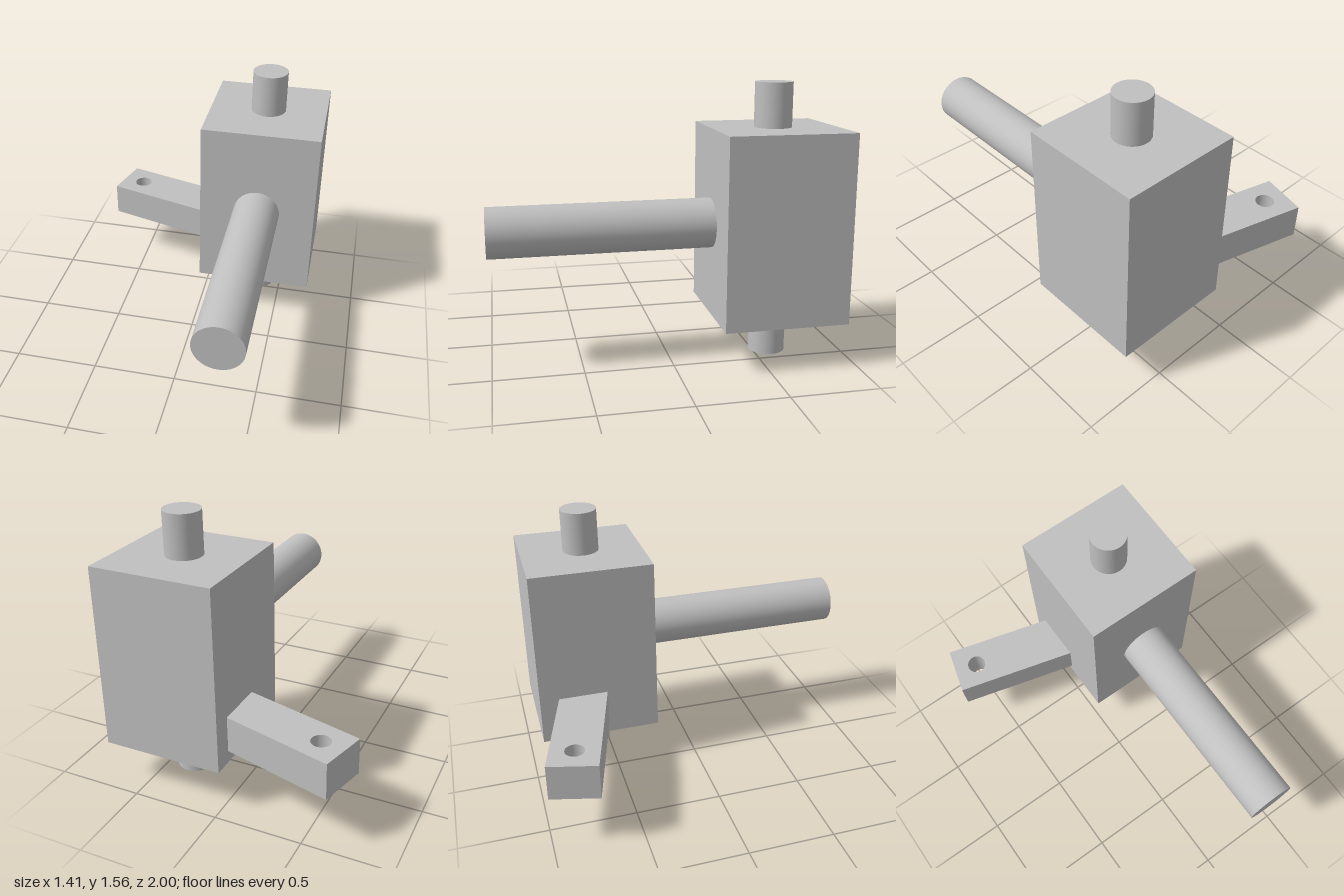
import * as THREE from 'three';

export function createModel() {
  const group = new THREE.Group();
  const grey = new THREE.MeshStandardMaterial({ color: 0xc0c0c0 });
  grey.name = 'grey';

  const add = (name, geometry, x, y, z) => {
    const mesh = new THREE.Mesh(geometry, grey);
    mesh.name = name;
    mesh.position.set(x, y, z);
    group.add(mesh);
    return mesh;
  };

  const cx = 0.352, cz = -0.59;

  // Main housing
  add('block', new THREE.BoxGeometry(0.705, 1.06, 0.705), cx, 0.78, cz);

  // Vertical pin stubs above and below the block
  for (const [name, y] of [['topPin', 1.435], ['bottomPin', 0.125]]) {
    add(name, new THREE.CylinderGeometry(0.105, 0.105, 0.25, 64), cx, y, cz);
  }

  // Long horizontal shaft on the front
  const shaft = new THREE.CylinderGeometry(0.14, 0.14, 1.24, 64).rotateX(Math.PI / 2);
  add('shaft', shaft, cx, 0.78, 0.38);

  // Flat lever arm with an eyelet, angled 15 degrees and running into the block
  const outline = new THREE.Shape();
  outline.moveTo(0, -0.14);
  outline.lineTo(0.82, -0.14);
  outline.lineTo(0.82, 0.14);
  outline.lineTo(0, 0.14);
  outline.closePath();
  const hole = new THREE.Path();
  hole.absarc(0.14, 0, 0.055, 0, Math.PI * 2, true);
  outline.holes.push(hole);
  const lever = new THREE.ExtrudeGeometry(outline, { depth: 0.21, bevelEnabled: false, curveSegments: 48 });
  lever.rotateX(Math.PI / 2);
  add('leverArm', lever, -0.67, 0.53, -0.865).rotation.y = -Math.PI / 12;

  return group;
}
